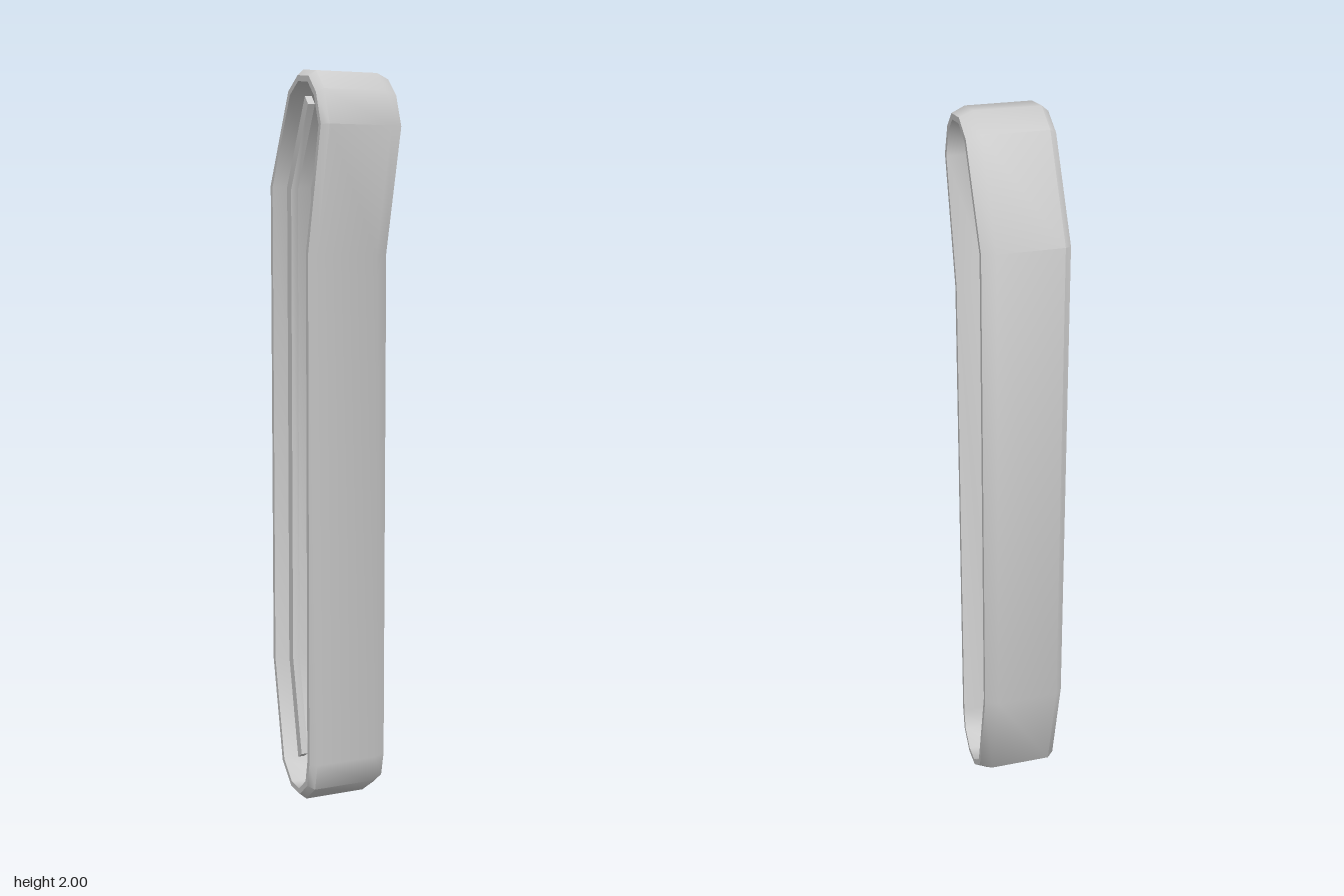
import * as THREE from 'three';
import { toCreasedNormals } from 'three/addons/utils/BufferGeometryUtils.js';

// Outline of the band as [z, y]: down the front, under, up the back, over the top
const LOOP = [
  [0.105, 1.99], [0.16, 1.94], [0.195, 1.85], [0.107, 1.52], [0.107, 0.125],
  [0.09, 0.05], [0.025, 0], [-0.05, 0], [-0.125, 0.06], [-0.195, 0.355],
  [-0.195, 1.71], [-0.055, 1.96], [0.02, 2],
].map(([z, y]) => new THREE.Vector2(z, y));

// Mitred inward direction at each corner of the outline
const N = LOOP.length;
const inwardNormal = (a, b) => {
  const t = b.clone().sub(a).normalize();
  return new THREE.Vector2(t.y, -t.x);
};
const MITRE = LOOP.map((p, i) => {
  const n1 = inwardNormal(LOOP[(i + N - 1) % N], p);
  const n2 = inwardNormal(p, LOOP[(i + 1) % N]);
  return n1.clone().add(n2).divideScalar(1 + n1.dot(n2));
});

// Sweep a closed section of [x, depth below the outline] along part of the loop
function sweep(section, first, last, closed) {
  const S = section.length;
  const point = (i, j) => {
    const [x, depth] = section[j % S];
    const p = LOOP[i % N], m = MITRE[i % N];
    return [x, p.y + m.y * depth, p.x + m.x * depth];
  };
  const pos = [];
  const tri = (a, b, c) => pos.push(...a, ...b, ...c);
  for (let i = first; i < last; i++) {
    for (let j = 0; j < S; j++) {
      const a = point(i, j), b = point(i + 1, j);
      const c = point(i + 1, j + 1), d = point(i, j + 1);
      tri(a, b, c);
      tri(a, c, d);
    }
  }
  if (!closed) {
    for (let j = 1; j < S - 1; j++) {
      tri(point(first, 0), point(first, j), point(first, j + 1));
      tri(point(last, 0), point(last, j + 1), point(last, j));
    }
  }
  const geometry = new THREE.BufferGeometry();
  geometry.setAttribute('position', new THREE.Float32BufferAttribute(pos, 3));
  return toCreasedNormals(geometry, 0.8);
}

export function createModel() {
  const group = new THREE.Group();
  group.name = 'loopBand';
  const material = new THREE.MeshStandardMaterial({ color: 0xcccccc });
  const add = (name, geometry) => {
    const mesh = new THREE.Mesh(geometry, material);
    mesh.name = name;
    group.add(mesh);
  };

  // Band with chamfered outer edges and one rib running all round the inside
  add('band', sweep([
    [-0.095, 0], [0.078, 0], [0.113, 0.015], [0.113, 0.03],
    [0.022, 0.03], [0.022, 0.06], [0.002, 0.06], [0.002, 0.03],
    [-0.113, 0.03], [-0.113, 0.015],
  ], 0, N, true));

  // Shorter second ribs on the inside of the long walls
  const rib = [[-0.07, 0.028], [-0.05, 0.028], [-0.05, 0.06], [-0.07, 0.06]];
  add('frontRib', sweep(rib, 2, 4, false));
  add('backRib', sweep(rib, 8, 11, false));

  return group;
}
